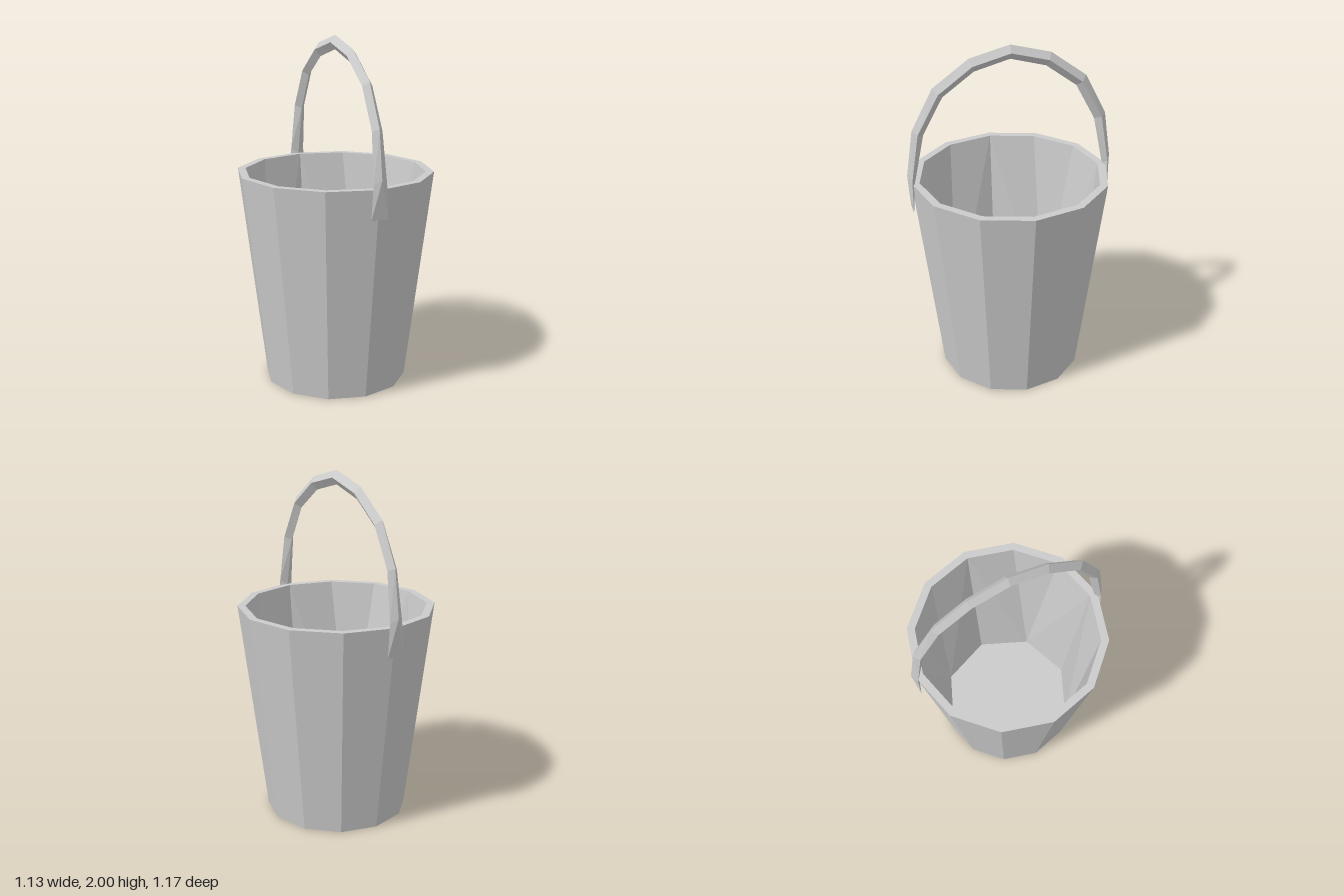
import * as THREE from 'three';

const SIDES = 12, FLOOR_SIDES = 8;
const HEIGHT = 1.236, FLOOR_Y = 0.1;
const BASE_R = 0.413, RIM_R = 0.565, INNER_R = 0.52, FLOOR_R = 0.4;

const grey = () => new THREE.MeshStandardMaterial({ color: 0xcccccc, flatShading: true });

function addMesh(group, name, geometry) {
  const mesh = new THREE.Mesh(geometry, grey());
  mesh.name = name;
  group.add(mesh);
}

// Flat-shaded geometry from a list of triangles, each three Vector3 corners
function fromTriangles(triangles) {
  const geometry = new THREE.BufferGeometry().setFromPoints(triangles.flat());
  geometry.computeVertexNormals();
  return geometry;
}

// Point on a horizontal circle
function ringPoint(radius, y, degrees) {
  const a = THREE.MathUtils.degToRad(degrees);
  return new THREE.Vector3(radius * Math.cos(a), y, radius * Math.sin(a));
}

// Inner wall, facing inwards: twelve-sided at the rim, eight-sided at the floor
function innerWall() {
  const triangles = [];
  for (let q = 0; q < 360; q += 90) {
    const [t0, t1, t2, t3] = [0, 30, 60, 90].map(a => ringPoint(INNER_R, HEIGHT, q + a));
    const [f0, f1, f2] = [0, 45, 90].map(a => ringPoint(FLOOR_R, FLOOR_Y, q + a));
    triangles.push([t0, f1, t1], [t0, f0, f1], [t1, f1, t2], [t2, f1, t3], [t3, f1, f2]);
  }
  return fromTriangles(triangles);
}

// Handle: diamond section swept over an arch, tapering to a flat wide edge at each foot
function handleGeometry() {
  // outer z, y, side z, y, inner z, y, half width
  const half = [
    [0.566, 1.073, 0.566, 1.073, 0.566, 1.073, 0.051],
    [0.587, 1.29, 0.565, 1.265, 0.545, 1.24, 0.04],
    [0.55, 1.555, 0.522, 1.54, 0.487, 1.525, 0.031],
    [0.43, 1.79, 0.402, 1.762, 0.375, 1.735, 0.03],
    [0.228, 1.94, 0.214, 1.903, 0.2, 1.865, 0.03],
    [0, 2, 0, 1.96, 0, 1.92, 0.03],
  ];
  const mirrored = half.slice(0, -1).reverse()
    .map(([oz, oy, sz, sy, iz, iy, w]) => [-oz, oy, -sz, sy, -iz, iy, w]);
  const sections = [...half, ...mirrored].map(([oz, oy, sz, sy, iz, iy, w]) => [
    new THREE.Vector3(0, oy, oz),
    new THREE.Vector3(w, sy, sz),
    new THREE.Vector3(0, iy, iz),
    new THREE.Vector3(-w, sy, sz),
  ]);
  const triangles = [];
  for (let i = 0; i < sections.length - 1; i++) {
    const a = sections[i], b = sections[i + 1];
    const rising = i < half.length - 1;
    for (let j = 0; j < 4; j++) {
      const k = (j + 1) % 4;
      // Diagonals run from the lower side corner to the upper ridge
      if ((j % 2 === 0) === rising) triangles.push([a[j], a[k], b[j]], [a[k], b[k], b[j]]);
      else triangles.push([a[j], a[k], b[k]], [a[j], b[k], b[j]]);
    }
  }
  return fromTriangles(triangles);
}

export function createModel() {
  const model = new THREE.Group();
  model.name = 'bucket';

  // Tapered outer wall
  addMesh(model, 'outerWall',
    new THREE.CylinderGeometry(RIM_R, BASE_R, HEIGHT, SIDES, 1, true).translate(0, HEIGHT / 2, 0));

  // Underside
  addMesh(model, 'base', new THREE.CircleGeometry(BASE_R, SIDES).rotateX(Math.PI / 2));

  // Flat rim
  addMesh(model, 'rim',
    new THREE.RingGeometry(INNER_R, RIM_R, SIDES).rotateX(-Math.PI / 2).translate(0, HEIGHT, 0));

  // Inside
  addMesh(model, 'innerWall', innerWall());
  addMesh(model, 'floor',
    new THREE.CircleGeometry(FLOOR_R, FLOOR_SIDES).rotateX(-Math.PI / 2).translate(0, FLOOR_Y, 0));

  // Carrying handle
  addMesh(model, 'handle', handleGeometry());

  return model;
}
